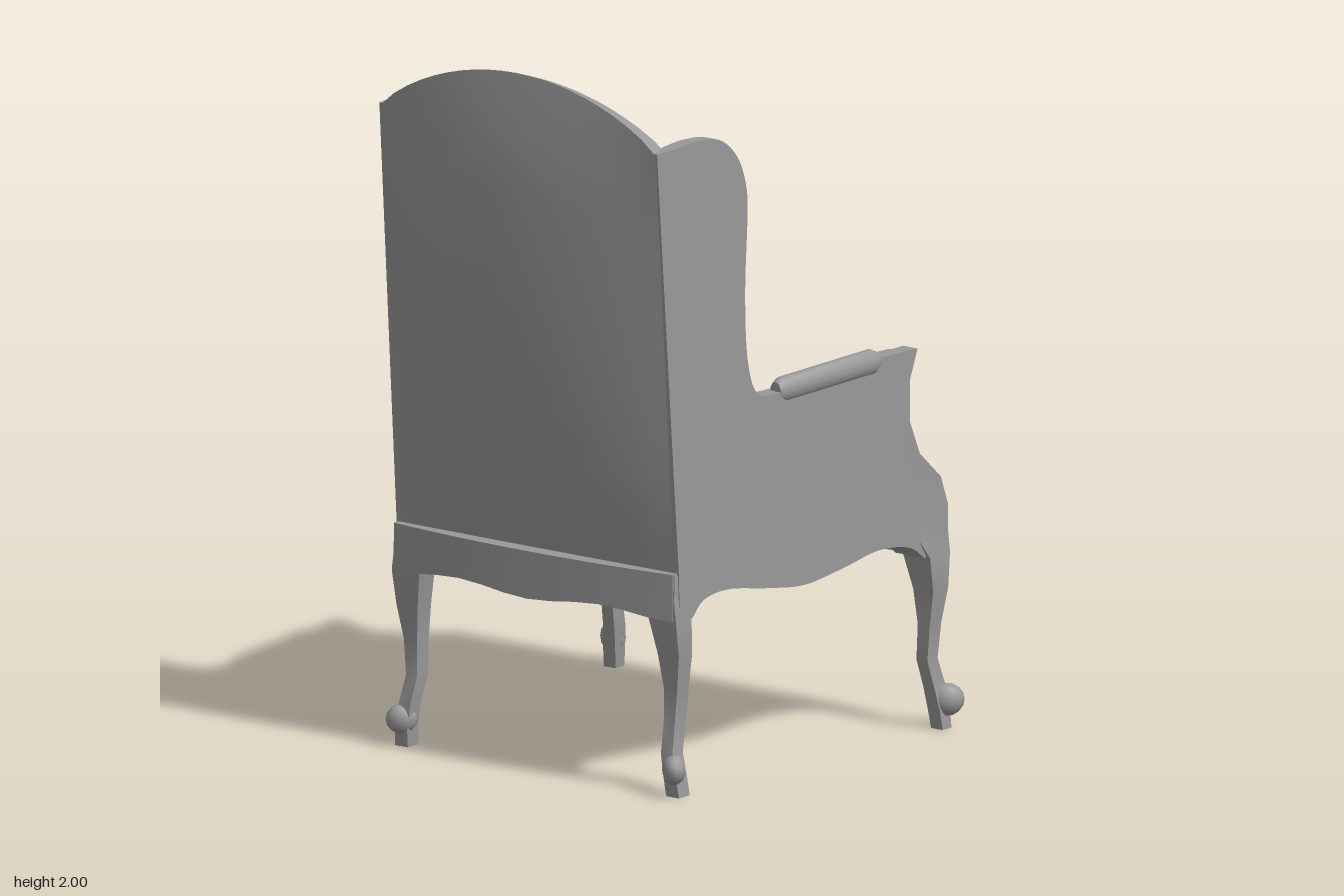
import * as THREE from 'three';
import { toCreasedNormals } from 'three/addons/utils/BufferGeometryUtils.js';

const material = new THREE.MeshStandardMaterial({ color: 0x999999 });

// Makes a closed geometry face outwards and sharpens its edges
function finish(source, crease) {
  const geo = source.index ? source.toNonIndexed() : source;
  geo.deleteAttribute('uv');
  const p = geo.attributes.position;
  const [a, b, c] = [new THREE.Vector3(), new THREE.Vector3(), new THREE.Vector3()];
  let volume = 0;
  for (let i = 0; i < p.count; i += 3) {
    a.fromBufferAttribute(p, i);
    b.fromBufferAttribute(p, i + 1);
    c.fromBufferAttribute(p, i + 2);
    volume += a.dot(b.cross(c));
  }
  if (volume < 0) {
    for (let i = 0; i < p.count; i += 3) {
      b.fromBufferAttribute(p, i + 1);
      c.fromBufferAttribute(p, i + 2);
      p.setXYZ(i + 1, c.x, c.y, c.z);
      p.setXYZ(i + 2, b.x, b.y, b.z);
    }
  }
  return toCreasedNormals(geo, crease);
}

// Skins a list of equal-length rings and caps both ends
function loft(rings) {
  const n = rings[0].length, pos = [], idx = [];
  rings.forEach(r => r.forEach(v => pos.push(...v)));
  for (let i = 0; i < rings.length - 1; i++) {
    for (let j = 0; j < n; j++) {
      const a = i * n + j, b = i * n + (j + 1) % n;
      idx.push(a, b, b + n, a, b + n, a + n);
    }
  }
  for (const end of [0, rings.length - 1]) {
    const mid = pos.length / 3;
    pos.push(...[0, 1, 2].map(k => rings[end].reduce((s, v) => s + v[k], 0) / n));
    for (let j = 0; j < n; j++) {
      const a = end * n + j, b = end * n + (j + 1) % n;
      if (end) idx.push(a, b, mid); else idx.push(a, mid, b);
    }
  }
  const geo = new THREE.BufferGeometry();
  geo.setAttribute('position', new THREE.Float32BufferAttribute(pos, 3));
  geo.setIndex(idx);
  return geo;
}

const points = list => list.map(([x, y]) => new THREE.Vector2(x, y));
const extrude = (shape, depth) =>
  new THREE.ExtrudeGeometry(shape, { depth, bevelEnabled: false, curveSegments: 6 });

// The sides splay outwards towards the front and thicken inwards towards the seat
const outerZ = x => 0.537 + 0.09 * x;
function splay(geo, depth) {
  const p = geo.attributes.position;
  for (let i = 0; i < p.count; i++) {
    const z = p.getZ(i);
    const extra = z < depth / 2 ? 0.014 * (1.84 - p.getY(i)) : 0;
    p.setZ(i, z + outerZ(p.getX(i)) - depth - extra);
  }
  return geo;
}

// Wavy lower edge of the side, front to back
const sideEdge = points([[0.48, 0.5], [0.42, 0.54], [0.3, 0.555], [0.15, 0.53], [0, 0.512],
  [-0.15, 0.53], [-0.3, 0.555], [-0.4, 0.545], [-0.45, 0.5]]);

function sidePanel() {
  const s = new THREE.Shape();
  s.moveTo(-0.5, 0.5).lineTo(-0.505, 0.64).lineTo(-0.592, 1.84).lineTo(-0.53, 1.84);
  s.splineThru(points([[-0.44, 1.848], [-0.34, 1.835], [-0.27, 1.775], [-0.235, 1.69],
    [-0.229, 1.6], [-0.238, 1.4], [-0.232, 1.22], [-0.205, 1.11], [-0.16, 1.075]]));
  s.lineTo(-0.08, 1.075).lineTo(0.3, 1.1).lineTo(0.4, 1.1).lineTo(0.4, 0.9);
  s.lineTo(0.45, 0.76).lineTo(0.5, 0.68).lineTo(0.5, 0.5).lineTo(0.48, 0.5);
  s.splineThru(sideEdge.slice(1));
  return splay(extrude(s, 0.042), 0.042);
}

function sideApron() {
  const s = new THREE.Shape();
  s.moveTo(-0.45, 0.63).lineTo(0.48, 0.63).lineTo(0.48, 0.5);
  s.splineThru(sideEdge.slice(1));
  return splay(extrude(s, 0.04), 0.081);
}

// Rows: y, back x, front x, inner z, outer z, chamfer of the inner back corner
const cabriole = rows => loft(rows.map(([y, xb, xf, zi, zo, c = 0]) =>
  [[xb, y, y > 0.52 ? Math.min(zo, outerZ(xb) - 0.001) : zo], [xf, y, zo],
    [xf, y, zi], [xb + c, y, zi]]));

const frontPost = () => cabriole([
  [1.1, 0.36, 0.45, 0.53, 0.581, 0.02], [1.02, 0.36, 0.422, 0.525, 0.577, 0.02],
  [0.9, 0.35, 0.42, 0.505, 0.577, 0.04], [0.8, 0.35, 0.46, 0.465, 0.581, 0.07],
  [0.72, 0.37, 0.545, 0.442, 0.588, 0.09], [0.64, 0.41, 0.572, 0.45, 0.591, 0.06],
  [0.56, 0.455, 0.57, 0.47, 0.594, 0.02], [0.5, 0.488, 0.577, 0.5, 0.595],
  [0.4, 0.508, 0.575, 0.52, 0.59], [0.3, 0.512, 0.563, 0.533, 0.575],
  [0.2, 0.51, 0.556, 0.53, 0.568], [0.12, 0.53, 0.58, 0.538, 0.577],
  [0.05, 0.543, 0.587, 0.545, 0.587], [0, 0.55, 0.59, 0.55, 0.59]]);

const backLeg = () => cabriole([
  [0.63, -0.52, -0.4, 0.39, 0.488], [0.55, -0.522, -0.42, 0.39, 0.492],
  [0.5, -0.522, -0.452, 0.4, 0.495], [0.4, -0.505, -0.445, 0.418, 0.492],
  [0.3, -0.492, -0.44, 0.43, 0.476], [0.2, -0.493, -0.443, 0.43, 0.468],
  [0.12, -0.515, -0.468, 0.437, 0.477], [0.05, -0.515, -0.465, 0.447, 0.49],
  [0, -0.508, -0.46, 0.45, 0.495]]);

// Knob on the toe, stretched along the diagonal
function foot(x, y, z, r, angle) {
  return new THREE.SphereGeometry(r, 10, 8).scale(1.15, 1.1, 0.85)
    .rotateY(angle).translate(x, y, z);
}

// Rounded, narrow arm pad lying along the splayed arm
function armPad() {
  const profile = points([[0, -0.205], [0.026, -0.202], [0.037, -0.18], [0.037, 0.18],
    [0.026, 0.202], [0, 0.205]]);
  return new THREE.LatheGeometry(profile, 14).rotateZ(-Math.PI / 2).scale(1, 1, 0.78)
    .rotateY(-0.09).rotateZ(0.035).translate(0.107, 1.082, 0.528);
}

// Arched backrest, leaning backwards and bulging behind
function backrest() {
  const rings = [], rows = 8;
  for (let i = 0; i <= 20; i++) {
    const u = i / 10 - 1, bow = 1 - u * u, z = u * 0.478;
    const top = 1.835 + 0.165 * Math.pow(bow, 0.85);
    const ring = [];
    for (let k = 0; k <= rows; k++) {
      const y = 0.62 + (top - 0.62) * k / rows;
      const bulge = 0.055 * bow * Math.sqrt(Math.max(0, Math.sin(Math.PI * k / rows)));
      ring.push([-0.503 - 0.073 * (y - 0.62) - bulge, y, z]);
    }
    for (let k = rows; k >= 0; k--) {
      const y = 0.62 + (top - 0.015 - 0.62) * k / rows;
      ring.push([-0.402 - 0.107 * (y - 0.62) - 0.012 * bow, y, z]);
    }
    rings.push(ring);
  }
  return loft(rings);
}

// Seat cushion: rows of x, y and half width, swept across the chair
function cushion() {
  const section = [[-0.47, 0.6, 0.455], [-0.46, 0.7, 0.455], [0, 0.716, 0.5], [0.4, 0.718, 0.53],
    [0.5, 0.714, 0.46], [0.545, 0.698, 0.463], [0.57, 0.668, 0.47], [0.572, 0.638, 0.468],
    [0.555, 0.61, 0.45], [0.52, 0.6, 0.45]];
  const rings = [];
  for (let i = 0; i <= 12; i++) {
    const u = i / 6 - 1;
    rings.push(section.map(([x, y, w]) => [x, y - (y > 0.65 ? 0.018 * u ** 6 : 0), u * w]));
  }
  return loft(rings);
}

// Scalloped rail under the front of the seat
function frontApron() {
  const half = [[0.51, 0.5], [0.43, 0.5], [0.38, 0.522], [0.3, 0.532], [0.22, 0.512], [0.16, 0.508],
    [0.115, 0.532], [0.075, 0.502], [0.035, 0.485]];
  const edge = [...half, [0, 0.481], ...half.map(([x, y]) => [-x, y]).reverse()];
  const s = new THREE.Shape(points([...edge, [-0.51, 0.615], [-0.2, 0.618], [0, 0.635],
    [0.2, 0.618], [0.51, 0.615]]));
  return extrude(s, 0.07).rotateY(Math.PI / 2).translate(0.497, 0, 0);
}

// Bowed rail under the backrest
function backRail() {
  const rings = [];
  for (let i = 0; i <= 12; i++) {
    const u = i / 6 - 1, z = u * 0.485;
    const x = -0.525 - 0.03 * (1 - u * u);
    const y = 0.5 + 0.02 * Math.sin(u * Math.PI) ** 2;
    rings.push([[x, y, z], [x, 0.635, z], [-0.46, 0.635, z], [-0.46, y, z]]);
  }
  return loft(rings);
}

export function createModel() {
  const group = new THREE.Group();
  group.name = 'wingArmchair';
  const add = (name, geo, crease = 0.6) => {
    const mesh = new THREE.Mesh(finish(geo, crease), material);
    mesh.name = name;
    group.add(mesh);
  };
  add('backrest', backrest());
  add('seatCushion', cushion(), 0.8);
  add('frontApron', frontApron());
  add('backRail', backRail());

  // Parts that are mirrored across the chair
  const pairs = {
    WingAndArm: sidePanel, Apron: sideApron, FrontPostAndLeg: frontPost, BackLeg: backLeg,
    ArmPad: armPad,
    FrontFoot: () => foot(0.581, 0.08, 0.582, 0.042, -Math.PI / 4),
    BackFoot: () => foot(-0.504, 0.078, 0.474, 0.039, Math.PI / 4),
  };
  for (const [name, make] of Object.entries(pairs)) {
    const crease = /Pad|Foot/.test(name) ? 0.9 : 0.6;
    add('near' + name, make(), crease);
    add('far' + name, make().scale(1, 1, -1), crease);
  }
  return group;
}
